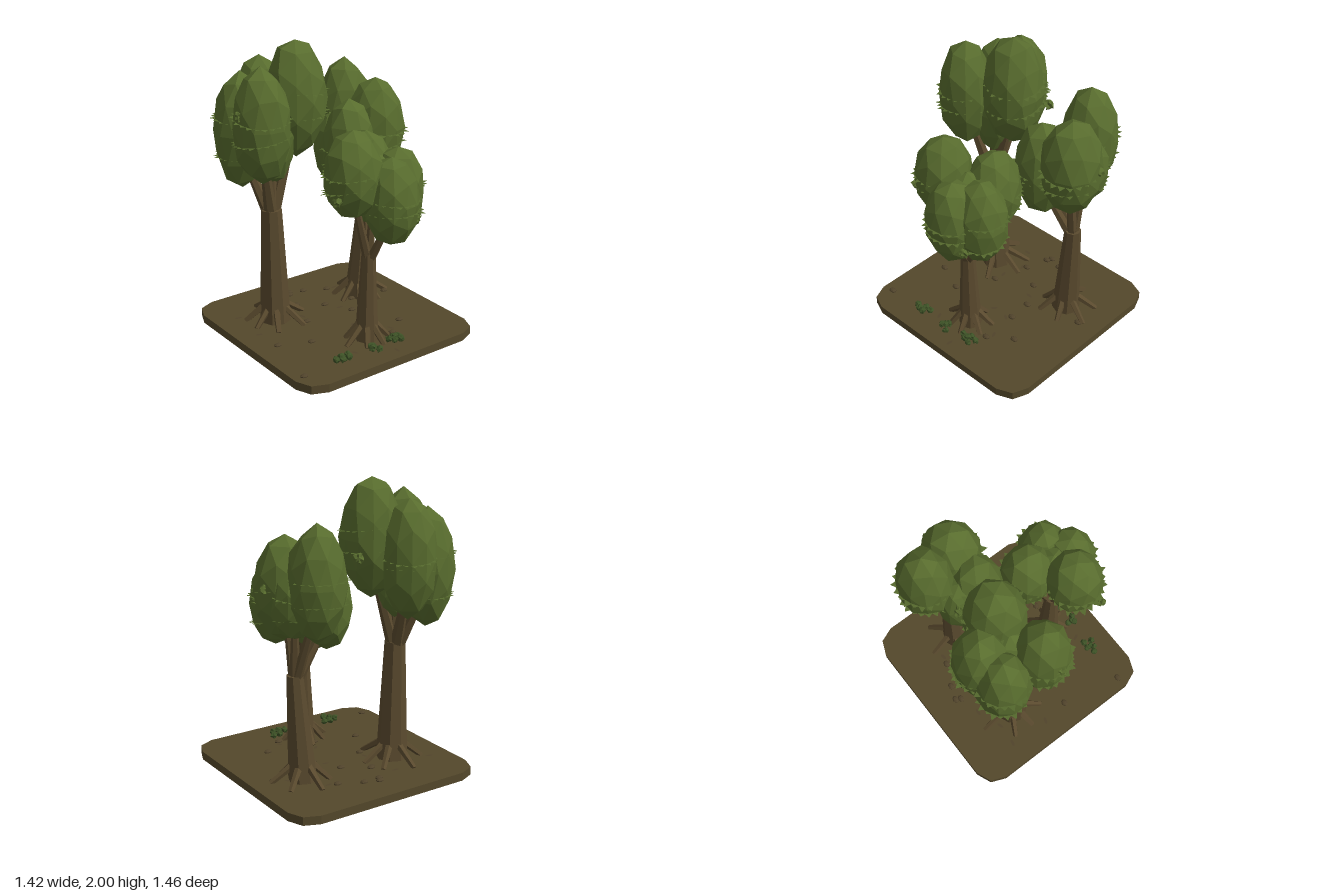
import * as THREE from 'three';

const paint = (name, color, opts = {}) =>
  Object.assign(new THREE.MeshStandardMaterial({ color, flatShading: true, ...opts }), { name });

// Small seeded random generator
function makeRandom(seed) {
  return () => {
    seed = (seed * 16807) % 2147483647;
    return seed / 2147483647;
  };
}

// Repeatable value in -1..1 for a point, so shared corners move together
function hash(x, y, z, seed) {
  const s = Math.sin(Math.round(x * 100) * 12.99 + Math.round(y * 100) * 78.23 + Math.round(z * 100) * 37.72 + seed * 9.1) * 4375.85;
  return 2 * (s - Math.floor(s)) - 1;
}

// Faceted ball with uneven corners
function lumpyBall(detail, amount, seed) {
  const geo = new THREE.IcosahedronGeometry(1, detail);
  const p = geo.attributes.position;
  for (let i = 0; i < p.count; i++) {
    const x = p.getX(i), y = p.getY(i), z = p.getZ(i);
    const k = 1 + amount * hash(x, y, z, seed);
    p.setXYZ(i, x * k, y * k, z * k);
  }
  geo.computeVertexNormals();
  return geo;
}

// Jagged flat leaf layer
function leafLayer(radius, rand) {
  const shape = new THREE.Shape();
  const n = 44;
  for (let i = 0; i < n; i++) {
    const a = (i / n) * Math.PI * 2;
    const r = radius * (i % 2 ? 0.93 : 1.0 + 0.16 * rand());
    shape[i ? 'lineTo' : 'moveTo'](Math.cos(a) * r, Math.sin(a) * r);
  }
  return new THREE.ShapeGeometry(shape).rotateX(-Math.PI / 2);
}

export function createModel() {
  const model = new THREE.Group();
  const rand = makeRandom(4711);
  const soil = paint('soil', 0x54482b);
  const bark = paint('bark', 0x5a4a2e);
  const foliage = paint('foliage', 0x586c2e);
  const leaf = paint('leaf', 0x55692d, { side: THREE.DoubleSide });
  const shrub = paint('shrub', 0x3d5226);
  const stone = paint('stone', 0x50432b);

  function add(parent, name, geo, mat, pos = [0, 0, 0], scale = [1, 1, 1]) {
    const mesh = new THREE.Mesh(geo, mat);
    mesh.name = name;
    mesh.position.set(...pos);
    mesh.scale.set(...scale);
    parent.add(mesh);
    return mesh;
  }

  // Tapered limb between two points
  function limb(parent, name, from, to, r0, r1, sides) {
    const a = new THREE.Vector3(...from), b = new THREE.Vector3(...to);
    const dir = b.clone().sub(a);
    const mesh = add(parent, name, new THREE.CylinderGeometry(r1, r0, dir.length(), sides), bark);
    mesh.position.copy(a).add(b).multiplyScalar(0.5);
    mesh.quaternion.setFromUnitVectors(new THREE.Vector3(0, 1, 0), dir.normalize());
  }

  // Ground slab with cut round corners
  const h = 0.71, c = 0.15;
  const slab = new THREE.Shape();
  for (let q = 0; q < 4; q++) {
    for (let s = 0; s <= 2; s++) {
      const a = q * Math.PI / 2 + s * Math.PI / 4;
      const cx = (q === 0 || q === 3 ? 1 : -1) * (h - c), cy = (q < 2 ? 1 : -1) * (h - c);
      slab[q + s ? 'lineTo' : 'moveTo'](cx + c * Math.cos(a), cy + c * Math.sin(a));
    }
  }
  const slabGeo = new THREE.ExtrudeGeometry(slab, { depth: 0.057, bevelEnabled: false }).rotateX(-Math.PI / 2);
  add(model, 'ground', slabGeo, soil, [0, 0, -0.016]);

  // Crowns are listed as [x, y, z, radius, half height]
  const trees = [
    { name: 'tallTree', base: [-0.335, 0.05, -0.24], top: [-0.355, 0.88, -0.23], r0: 0.108, r1: 0.07, crowns: [
      [-0.155, 1.61, -0.225, 0.2, 0.39],
      [-0.485, 1.5, -0.125, 0.185, 0.38],
      [-0.29, 1.49, -0.445, 0.18, 0.39],
      [-0.465, 1.4, -0.405, 0.18, 0.39],
      [-0.33, 1.4, -0.25, 0.16, 0.34]] },
    { name: 'middleTree', base: [0.37, 0.05, -0.215], top: [0.415, 0.78, -0.2], r0: 0.098, r1: 0.055, crowns: [
      [0.365, 1.4, -0.385, 0.185, 0.37],
      [0.435, 1.34, -0.13, 0.2, 0.335],
      [0.2, 1.23, -0.115, 0.18, 0.34],
      [0.44, 1.28, -0.25, 0.16, 0.25],
      [0.2, 1.2, -0.24, 0.16, 0.27]] },
    { name: 'smallTree', base: [-0.005, 0.05, 0.36], top: [-0.005, 0.68, 0.37], r0: 0.08, r1: 0.046, crowns: [
      [0.04, 1.08, 0.535, 0.178, 0.295],
      [-0.165, 1.26, 0.405, 0.185, 0.29],
      [0.085, 1.17, 0.215, 0.18, 0.29],
      [0.18, 1.08, 0.425, 0.17, 0.3],
      [0.02, 1.12, 0.38, 0.14, 0.24]] }
  ];

  trees.forEach((t, ti) => {
    const tree = new THREE.Group();
    tree.name = t.name;
    model.add(tree);
    limb(tree, 'trunk', t.base, t.top, t.r0, t.r1, 8);

    // Spreading roots
    for (let i = 0; i < 7; i++) {
      const a = (i / 7) * Math.PI * 2 + ti + 0.3 * rand();
      const d = 1.7 + 0.6 * rand();
      const at = (k, y) => [t.base[0] + Math.cos(a) * t.r0 * k, y, t.base[2] + Math.sin(a) * t.r0 * k];
      limb(tree, 'root', at(d, 0.055), at(0.6, 0.17), 0.018, 0.026, 5);
    }

    t.crowns.forEach(([x, y, z, r, ry], i) => {
      // Branch reaching into the crown
      const start = [t.top[0], t.top[1] - 0.07, t.top[2]];
      limb(tree, 'branch', start, [x, y - ry * 0.4, z], t.r1 * 0.68, 0.02, 6);

      // Crown mass
      const ball = lumpyBall(1, 0.035, ti * 10 + i);
      ball.rotateY(i * 1.3 + ti);
      add(tree, 'crown', ball, foliage, [x, y, z], [r * 1.03, ry * 1.01, r * 1.03]);

      // Leaf layers poking out of the outer crowns
      if (i < 4) {
        const out = new THREE.Vector3(x - t.top[0], 0, z - t.top[2]).setLength(0.012);
        for (const level of [-0.3, 0.12]) {
          const lift = level + 0.25 * (rand() - 0.5);
          const layer = add(tree, 'leafLayer', leafLayer(r * Math.sqrt(1 - lift * lift), rand), leaf,
            [x + out.x, y + lift * ry, z + out.z]);
          layer.rotation.set(0.3 * (rand() - 0.5), rand() * 6, 0.3 * (rand() - 0.5));
        }
      }
    });
  });

  // Leafy tufts on the crowns
  [[0.2, 0.94, 0.6], [-0.35, 1.14, 0.48], [0.04, 1.52, -0.36], [0.04, 1.1, -0.07], [0.62, 1.36, -0.18], [-0.66, 1.6, -0.12]]
    .forEach((p, i) => add(model, 'leafTuft', lumpyBall(1, 0.45, 50 + i), foliage, p, [0.028, 0.03, 0.028]));

  // Low shrubs made of small clumps
  [[-0.32, 0.52], [-0.08, 0.53], [0.12, 0.51]].forEach(([x, z], s) => {
    const count = s === 1 ? 4 : 6;
    for (let i = 0; i < count; i++) {
      const a = i * 2.4, d = 0.02 * Math.sqrt(i);
      add(model, 'shrub', lumpyBall(1, 0.3, s * 7 + i), shrub,
        [x + Math.cos(a) * d * 1.3, 0.075 + 0.025 * rand(), z + Math.sin(a) * d], [0.022, 0.022, 0.022]);
    }
  });

  // Pebbles: placed ones, then scattered ones under the crowns
  const pebbles = [[-0.03, -0.52], [-0.05, -0.485], [0.07, -0.485], [-0.54, 0.095], [-0.33, 0.185], [0.34, 0.285], [-0.63, 0.525]];
  for (let i = 0; i < 14; i++) {
    const a = i * 2.4, d = 0.12 + 0.03 * i;
    pebbles.push([0.05 + Math.cos(a) * d, -0.03 + Math.sin(a) * d]);
  }
  const inShade = ([x, z]) => trees.some(t => t.crowns.some(k => Math.hypot(x - k[0], z - k[2]) < k[3]));
  const pebbleGeo = new THREE.SphereGeometry(1, 8, 5);
  pebbles.filter((p, i) => i < 7 || inShade(p)).forEach(([x, z]) =>
    add(model, 'pebble', pebbleGeo, stone, [x, 0.06, z], [0.029, 0.014, 0.022]));

  // Fallen leaves
  const fallen = new THREE.CircleGeometry(0.028, 6).rotateX(-Math.PI / 2).scale(1, 1, 0.4);
  for (let i = 0; i < 16; i++) {
    const k = trees[i % 3].crowns[i % 4], a = rand() * 6.28;
    const mesh = add(model, 'fallenLeaf', fallen, leaf, [k[0] + 0.08 * Math.cos(a), 0.063, k[2] + 0.08 * Math.sin(a)]);
    mesh.material = stone;
    mesh.rotation.y = a;
  }
  return model;
}
